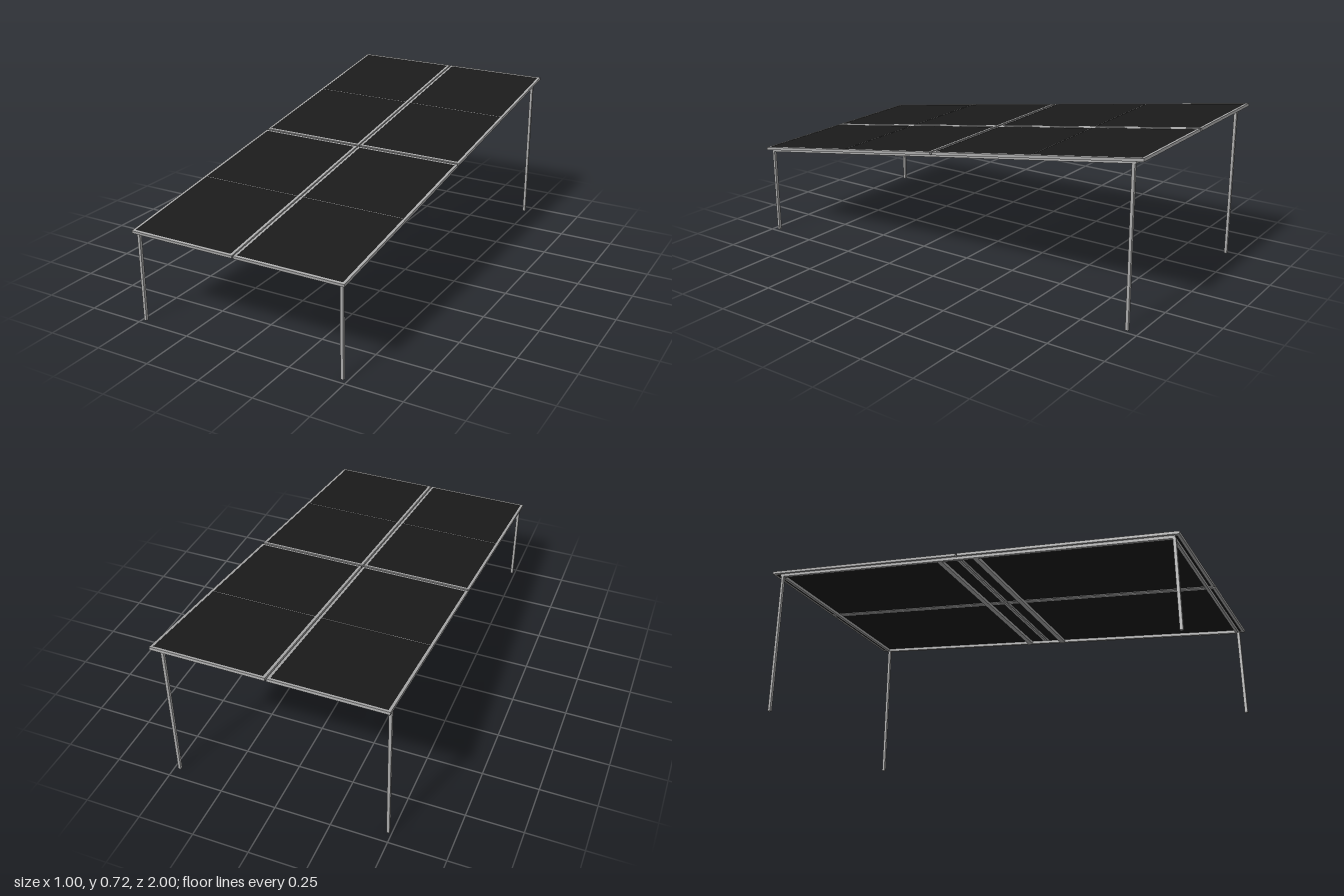
import * as THREE from 'three';

export function createModel() {
  const model = new THREE.Group();
  model.name = 'solarCanopy';

  const metal = new THREE.MeshStandardMaterial({ color: 0xaaaaaa });
  metal.name = 'aluminium';
  const glass = new THREE.MeshStandardMaterial({ color: 0x1b1b1b });
  glass.name = 'blackCells';

  function box(parent, name, material, size, pos) {
    const mesh = new THREE.Mesh(new THREE.BoxGeometry(...size), material);
    mesh.name = name;
    mesh.position.set(...pos);
    parent.add(mesh);
    return mesh;
  }

  // Sloping roof: local y = 0 is the top of the panel frames
  const tilt = Math.atan(0.15);
  const roofY = 0.568;
  const roof = new THREE.Group();
  roof.name = 'roof';
  roof.position.y = roofY;
  roof.rotation.x = tilt;
  model.add(roof);

  const T = 0.0125;      // panel thickness
  const W = 0.497;       // panel width
  const L = 1.005;       // panel length
  const rim = 0.012;     // frame width

  function panel(x, z) {
    const g = new THREE.Group();
    g.name = 'solarPanel';
    g.position.set(x, 0, z);
    for (const s of [-1, 1]) {
      box(g, 'frameSide', metal, [rim, T, L], [s * (W - rim) / 2, -T / 2, 0]);
      box(g, 'frameEnd', metal, [W - 2 * rim, T, rim], [0, -T / 2, s * (L - rim) / 2]);
    }
    box(g, 'cells', glass, [W - 2 * rim, T - 0.002, L - 2 * rim], [0, -T / 2, 0]);
    // Fine line between the two halves of the cell field
    box(g, 'middleLine', metal, [W - 2 * rim, 0.001, 0.002], [0, -0.0006, 0]);
    roof.add(g);
  }
  for (const sx of [-1, 1]) for (const sz of [-1, 1]) panel(sx * 0.2515, sz * 0.507);

  // Rails and cross bars under the panels
  const B = 0.013;
  const barY = -T - B / 2;
  const legX = [-0.484, 0.476];
  const legZ = [0.972, -0.947];
  for (const x of legX) box(roof, 'sideRail', metal, [B, B, 1.955], [x, barY, 0.011]);
  const span = legX[1] - legX[0] - B;
  const midX = (legX[0] + legX[1]) / 2;
  for (const [z, w] of [[0.981, B], [0.09, 0.025], [-0.09, 0.025], [-0.96, 0.016]]) {
    box(roof, 'crossBar', metal, [span, B, w], [midX, barY, z]);
  }

  // Legs reach up to the rails
  for (const x of legX) for (const z of legZ) {
    const h = roofY - 0.15 * z - T - B + 0.004;
    box(model, z > 0 ? 'frontLeg' : 'backLeg', metal, [B, h, B], [x, h / 2, z]);
  }
  return model;
}
